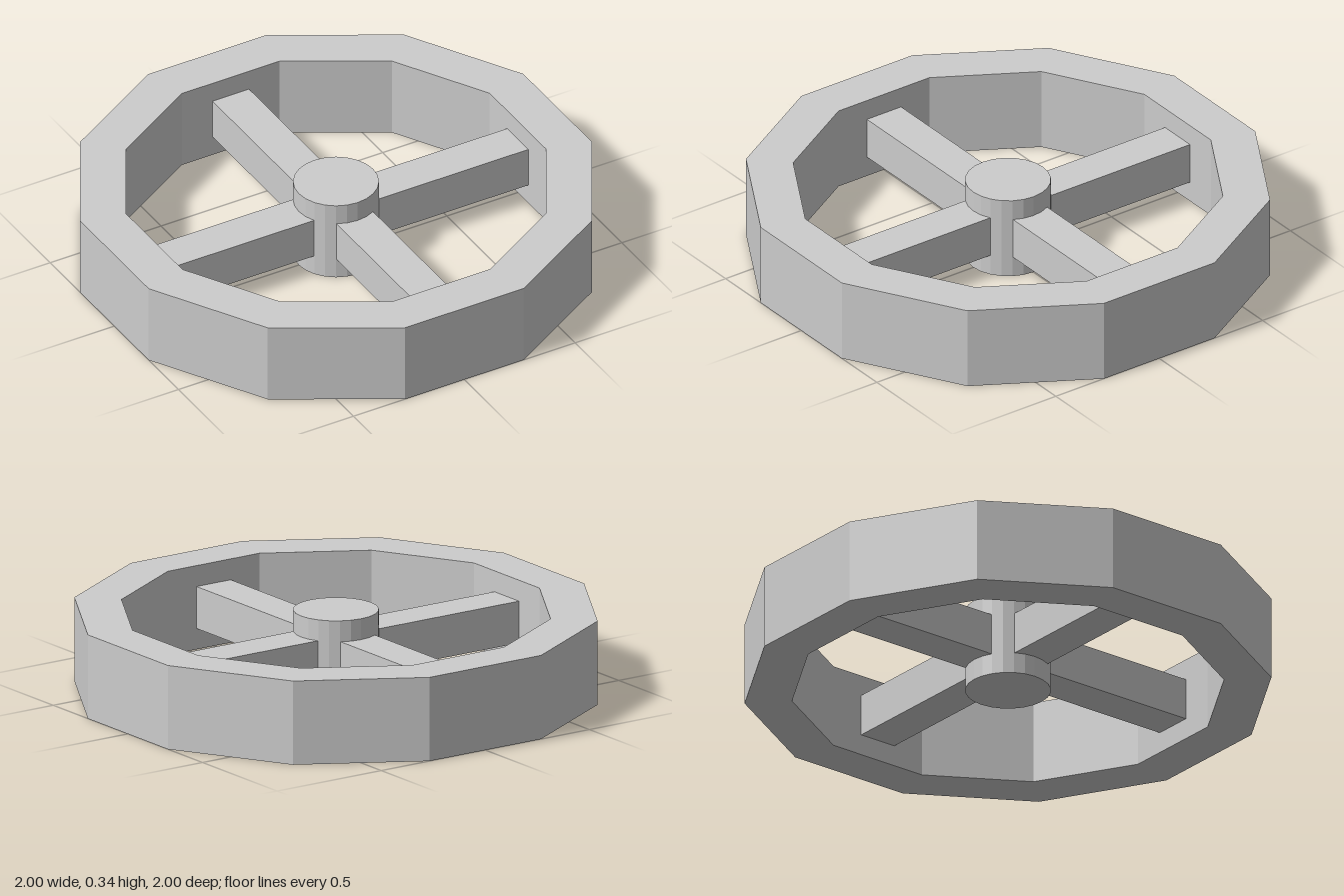
import * as THREE from 'three';

const HEIGHT = 0.34;
const SIDES = 12;

// Corners of a regular polygon with flat sides facing the axes
function polygon(apothem) {
  const radius = apothem / Math.cos(Math.PI / SIDES);
  return Array.from({ length: SIDES }, (_, i) => {
    const a = ((i + 0.5) / SIDES) * Math.PI * 2;
    return new THREE.Vector2(radius * Math.cos(a), radius * Math.sin(a));
  });
}

export function createModel() {
  const model = new THREE.Group();
  model.name = 'spokedWheel';
  const grey = new THREE.MeshStandardMaterial({ color: 0xcccccc, flatShading: true });
  grey.name = 'light grey';

  const add = (name, geometry, y) => {
    const mesh = new THREE.Mesh(geometry, grey);
    mesh.name = name;
    mesh.position.y = y;
    model.add(mesh);
    return mesh;
  };

  // Twelve-sided rim
  const outline = new THREE.Shape(polygon(1));
  outline.holes.push(new THREE.Path(polygon(0.82)));
  const rim = new THREE.ExtrudeGeometry(outline, { depth: HEIGHT, bevelEnabled: false });
  rim.rotateX(-Math.PI / 2);
  add('rim', rim, 0);

  // Central hub, as tall as the rim
  add('hub', new THREE.CylinderGeometry(0.168, 0.168, HEIGHT, 24), HEIGHT / 2);

  // Four spokes at mid height, from inside the hub to the rim
  const spoke = new THREE.BoxGeometry(0.72, 0.17, 0.165);
  spoke.translate(0.46, 0, 0);
  for (let i = 0; i < 4; i++) {
    add('spoke' + (i + 1), spoke, HEIGHT / 2).rotation.y = (i * Math.PI) / 2;
  }
  return model;
}
